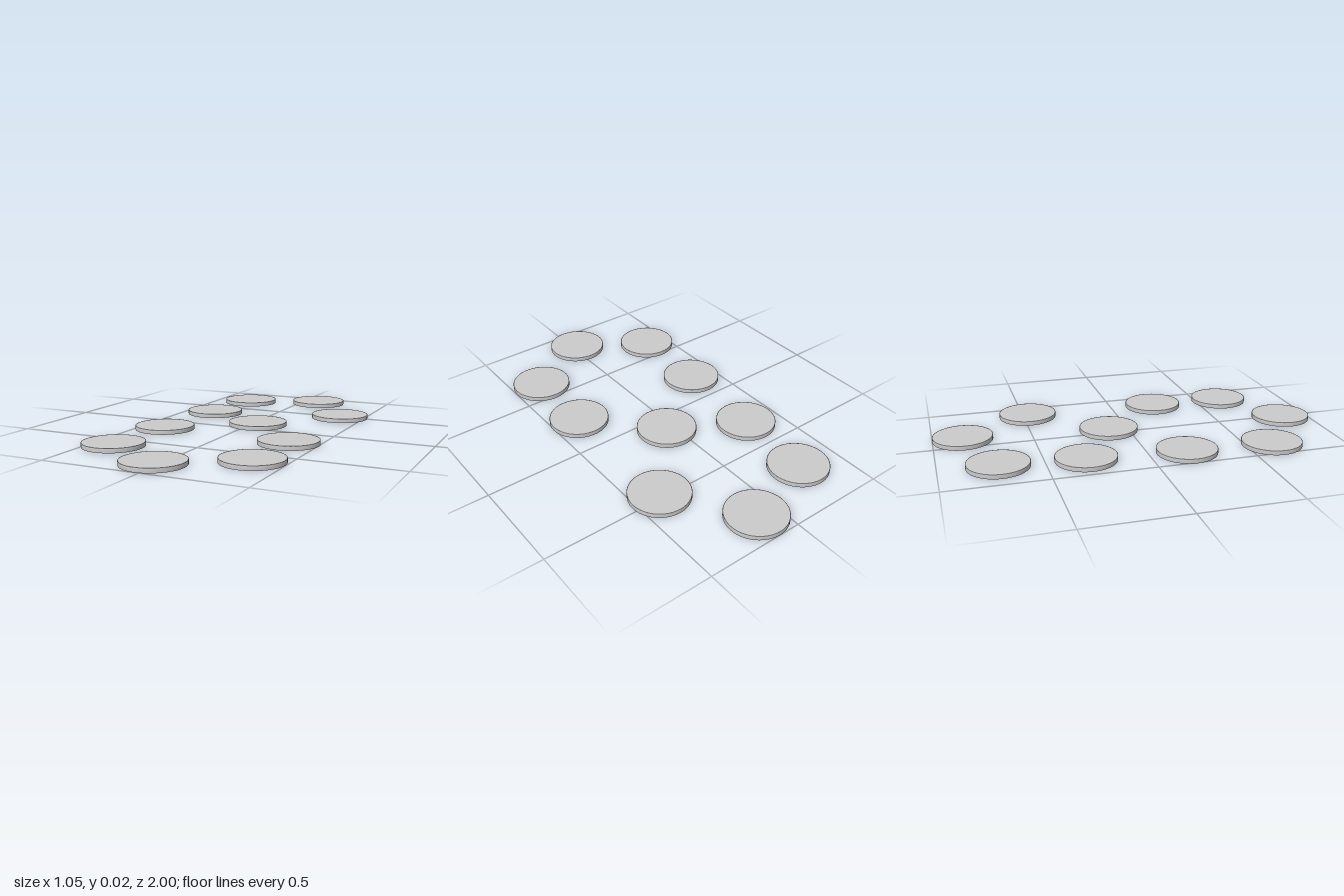
import * as THREE from 'three';

const RADIUS = 0.152;
const HEIGHT = 0.022;

// Disc centres as [x, z], from back to front
const CENTRES = [
  [0.11, -0.848], [-0.283, -0.718], [0.371, -0.476], [-0.318, -0.305], [0.041, -0.102],
  [-0.356, 0.19], [0.354, 0.236], [-0.374, 0.632], [0.346, 0.632], [-0.023, 0.848],
];

export function createModel() {
  const group = new THREE.Group();
  group.name = 'steppingStones';
  const material = new THREE.MeshStandardMaterial({ color: 0xcccccc });

  // Flat disc: narrow support rings keep the caps flat while the rim shades softly
  const inner = RADIUS - 0.002;
  const profile = [
    [0, 0], [inner, 0], [RADIUS, 0],
    [RADIUS, HEIGHT], [inner, HEIGHT], [0, HEIGHT],
  ].map(([r, y]) => new THREE.Vector2(r, y));
  const disc = new THREE.LatheGeometry(profile, 64);

  // Scatter the discs on the ground
  CENTRES.forEach(([x, z], i) => {
    const stone = new THREE.Mesh(disc, material);
    stone.name = `stone${i + 1}`;
    stone.position.set(x, 0, z);
    group.add(stone);
  });
  return group;
}
